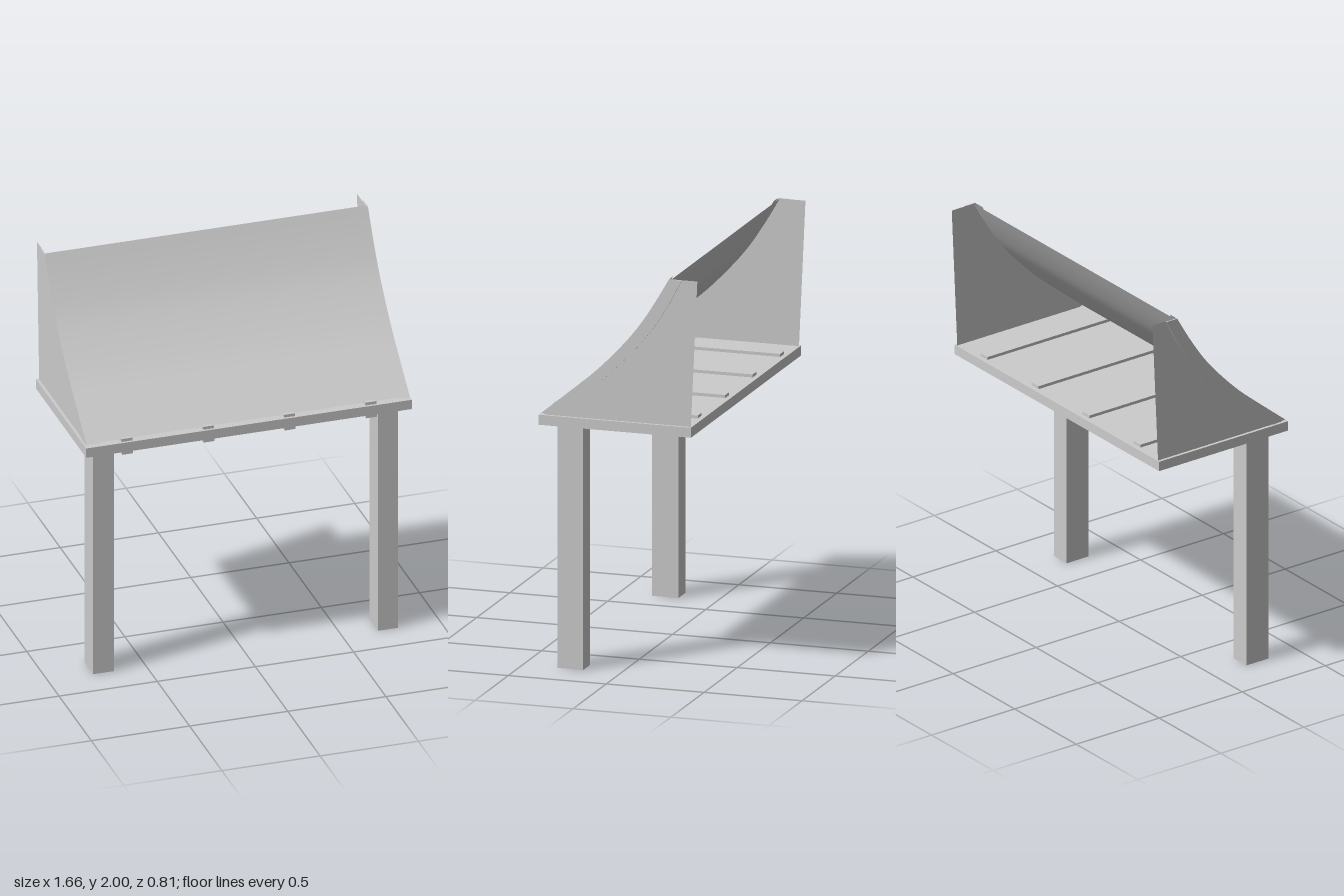
import * as THREE from 'three';

const grey = new THREE.MeshStandardMaterial({ color: 0xcccccc, side: THREE.DoubleSide });

// Curves in the (z, y) plane: front edge and back edge of the curved side flange
const spline = (pts) => new THREE.SplineCurve(pts.map(([z, y]) => new THREE.Vector2(z, y))).getPoints(24);
const outer = spline([[0.39, 1.28], [0.245, 1.4], [0.118, 1.508], [0, 1.627], [-0.1, 1.745], [-0.19, 1.88], [-0.26, 2]]);
const inner = spline([[0.32, 1.272], [0.15, 1.405], [-0.03, 1.575], [-0.15, 1.71], [-0.245, 1.85], [-0.325, 2]]);

export function createModel() {
  const group = new THREE.Group();

  const add = (name, geometry) => {
    const mesh = new THREE.Mesh(geometry, grey);
    mesh.name = name;
    group.add(mesh);
    return mesh;
  };

  // Box given by its limits
  const box = (name, x0, x1, y0, y1, z0, z1) =>
    add(name, new THREE.BoxGeometry(x1 - x0, y1 - y0, z1 - z0))
      .position.set((x0 + x1) / 2, (y0 + y1) / 2, (z0 + z1) / 2);

  // Thin sheet swept along the front curve between two x positions
  const sheet = (name, x0, x1, dz) => {
    const geometry = new THREE.PlaneGeometry(1, 1, 1, outer.length - 1);
    const p = geometry.attributes.position;
    for (let i = 0; i < p.count; i++) {
      const c = outer[outer.length - 1 - Math.floor(i / 2)];
      p.setXYZ(i, i % 2 ? x1 : x0, c.y, c.x + dz);
    }
    geometry.computeVertexNormals();
    add(name, geometry);
  };

  // Flat upright plate from a (z, y) outline, starting at x and going outward
  const plate = (name, outline, x, depth) => {
    const shape = new THREE.Shape(outline.map((v) => new THREE.Vector2(-v.x, v.y)));
    const geometry = depth
      ? new THREE.ExtrudeGeometry(shape, { depth, bevelEnabled: false })
      : new THREE.ShapeGeometry(shape);
    geometry.rotateY(Math.PI / 2);
    geometry.translate(x, 0, 0);
    add(name, geometry);
  };

  // Tray: top board over a rectangular frame, open underneath
  box('trayBoard', -0.83, 0.83, 1.245, 1.27, -0.375, 0.403);
  const frame = new THREE.Shape();
  frame.moveTo(-0.83, -0.403).lineTo(0.83, -0.403).lineTo(0.83, 0.375).lineTo(-0.83, 0.375).closePath();
  const opening = new THREE.Path();
  opening.moveTo(-0.73, -0.3).lineTo(-0.73, 0.275).lineTo(0.73, 0.275).lineTo(0.73, -0.3).closePath();
  frame.holes.push(opening);
  const frameGeometry = new THREE.ExtrudeGeometry(frame, { depth: 0.025, bevelEnabled: false });
  frameGeometry.rotateX(-Math.PI / 2);
  frameGeometry.translate(0, 1.22, 0);
  add('trayFrame', frameGeometry);

  // Cross slats above and below the tray
  for (const x of [-0.618, -0.204, 0.21, 0.624]) {
    box('upperSlat', x - 0.028, x + 0.028, 1.27, 1.285, -0.35, 0.39);
    box('lowerSlat', x - 0.028, x + 0.028, 1.205, 1.22, -0.345, 0.4);
  }

  // Legs
  box('rightLeg', -0.77, -0.665, 0, 1.22, 0.195, 0.33);
  box('leftLeg', 0.682, 0.785, 0, 1.22, 0.19, 0.322);

  // Curved front sheet
  sheet('frontSheet', -0.815, 0.815, -0.012);

  // Side panels with L-shaped edge flanges
  const panel = [...outer, new THREE.Vector2(-0.403, 2), new THREE.Vector2(-0.37, 1.27), new THREE.Vector2(0.37, 1.27)];
  const band = [...outer, ...[...inner].reverse()];
  for (const s of [-1, 1]) {
    plate('sidePanel', panel, s * 0.815, 0);
    plate('sideFlange', band, s > 0 ? 0.816 : -0.823, 0.007);
    sheet('frontFlange', s > 0 ? 0.76 : -0.822, s > 0 ? 0.822 : -0.76, 0);
  }

  return group;
}
